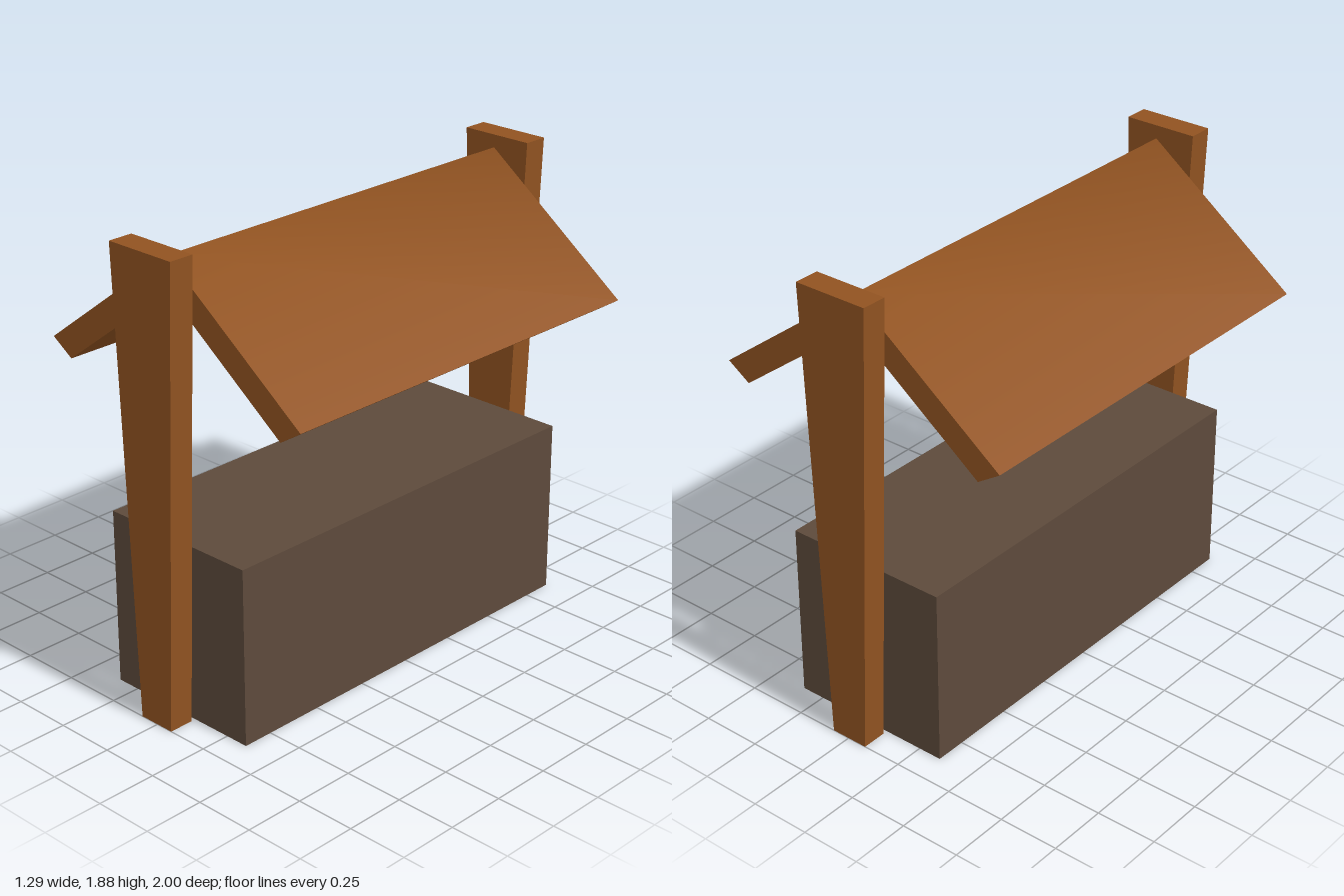
import * as THREE from 'three';
import { mergeGeometries } from 'three/addons/utils/BufferGeometryUtils.js';

const wood = new THREE.MeshStandardMaterial({ color: 0x915321, side: THREE.DoubleSide });
wood.name = 'warmWood';
const stone = new THREE.MeshStandardMaterial({ color: 0x5d4a3b, side: THREE.DoubleSide });
stone.name = 'greyBrown';

// Box standing on y = 0 with no bottom face; the foot can be narrower than the top
function openBox(width, height, depth, footWidth = width) {
  const geo = new THREE.BoxGeometry(width, height, depth).translate(0, height / 2, 0);
  const index = Array.from(geo.index.array);
  index.splice(18, 6);
  geo.setIndex(index);
  geo.clearGroups();
  const pos = geo.attributes.position;
  for (let i = 0; i < pos.count; i++) {
    if (pos.getY(i) < 0.01) pos.setX(i, pos.getX(i) * footWidth / width);
  }
  geo.computeVertexNormals();
  return geo;
}

// Sheet swept along z from a profile running left to right (faces up), smooth across bends
function sheet(profile, z0, z1) {
  const pos = [], index = [];
  profile.forEach(([x, y]) => pos.push(x, y, z0, x, y, z1));
  for (let i = 0; i < profile.length - 1; i++) {
    const a = i * 2;
    index.push(a, a + 1, a + 2, a + 1, a + 3, a + 2);
  }
  const geo = new THREE.BufferGeometry();
  geo.setAttribute('position', new THREE.Float32BufferAttribute(pos, 3));
  geo.setIndex(index);
  geo.computeVertexNormals();
  return geo;
}

// Gabled roof: rounded-looking slopes, crisp eaves and flat end caps
function roofGeometry() {
  const z = 0.877;
  const outer = [[-0.647, 1.355], [0, 1.835], [0.647, 1.355]];
  const inner = [[0.55, 1.292], [0, 1.7], [-0.55, 1.292]];
  const parts = [
    sheet(outer, -z, z),
    sheet(inner, -z, z),
    sheet([outer[2], inner[0]], -z, z),
    sheet([inner[2], outer[0]], -z, z),
  ];
  const outline = new THREE.Shape([...outer, ...inner].map(([x, y]) => new THREE.Vector2(x, y)));
  for (const turn of [0, Math.PI]) {
    const cap = new THREE.ShapeGeometry(outline).rotateY(turn).translate(0, 0, turn ? -z : z);
    cap.deleteAttribute('uv');
    parts.push(cap);
  }
  return mergeGeometries(parts);
}

export function createModel() {
  const model = new THREE.Group();
  model.name = 'roofedStall';
  const add = (name, geo, material) => {
    const mesh = new THREE.Mesh(geo, material);
    mesh.name = name;
    model.add(mesh);
    return mesh;
  };

  // Solid block below
  add('base', openBox(0.7, 0.73, 1.754), stone);

  // Tapered posts at both ends
  for (const [name, side] of [['frontPost', 1], ['backPost', -1]]) {
    add(name, openBox(0.314, 1.88, 0.104, 0.16), wood).position.set(-0.004, 0, side * 0.948);
  }

  // Roof between the posts
  add('roof', roofGeometry(), wood);
  return model;
}
